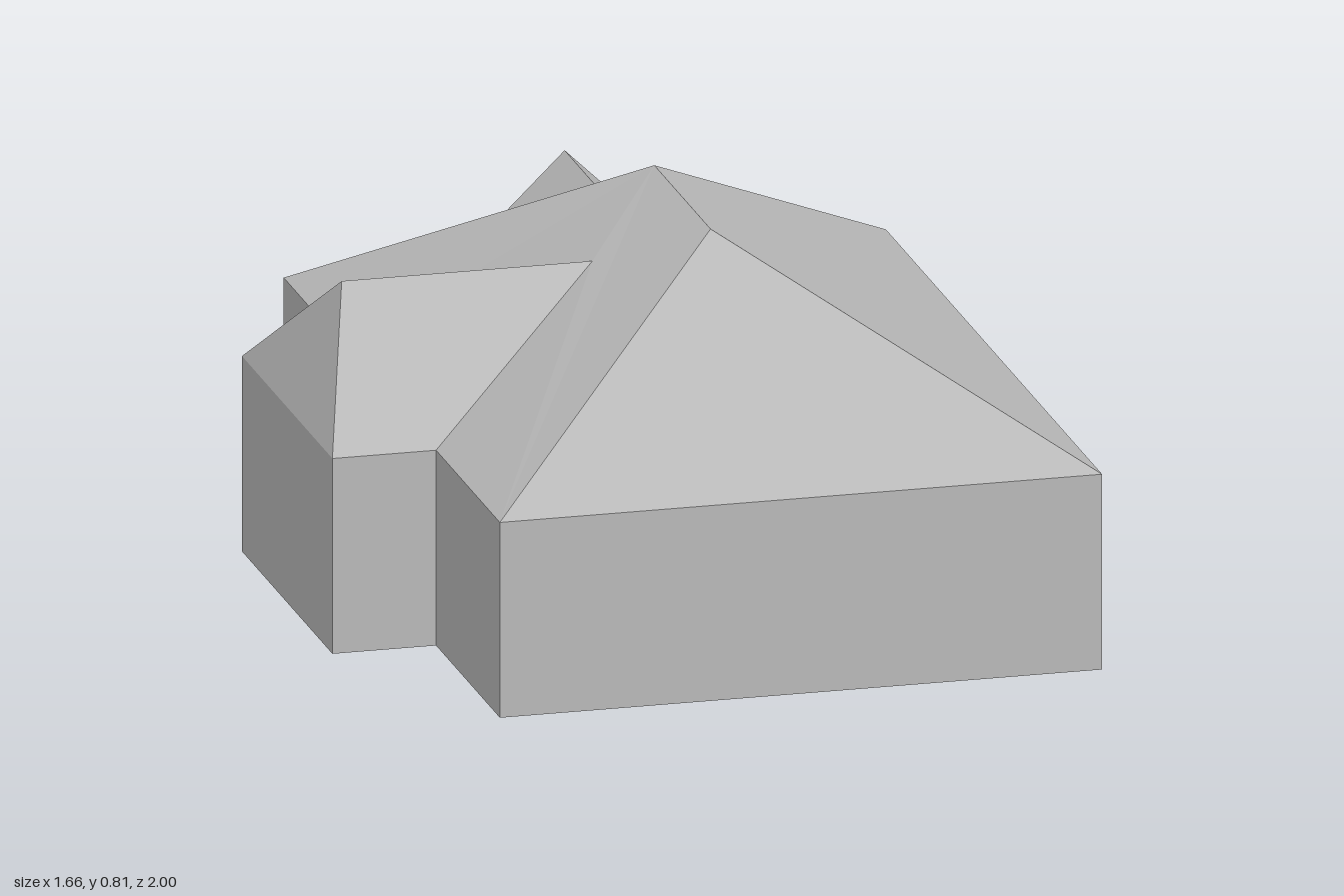
import * as THREE from 'three';

const EAVE = 0.42, RIDGE = 0.806, WING = 0.688, GABLE = 0.588;

// Plan points [x, z] in the house's own axes, before it is turned on its plot
const P = {
  frontLeft: [-0.562, 0.903], frontRight: [0.716, 0.903],
  backRight: [0.716, -0.822], backLeft: [-0.562, -0.822],
  gableInR: [0.256, -0.822], gableOutR: [0.256, -0.998],
  gableOutL: [-0.092, -0.998], gableInL: [-0.092, -0.822],
  wingInB: [-0.562, -0.328], wingOutB: [-0.782, -0.328],
  wingOutF: [-0.782, 0.394], wingInF: [-0.562, 0.394],
  ridgeF: [0.055, 0.264], ridgeB: [0.055, -0.185],
  wingPeak: [-0.671, 0.051], wingJoint: [-0.139, 0.051],
  gablePeak: [0.081, -0.998], gableJoint: [0.081, -0.546],
};
const HEIGHT = {
  ridgeF: RIDGE, ridgeB: RIDGE, wingPeak: WING, wingJoint: WING,
  gablePeak: GABLE, gableJoint: GABLE,
};
const at = (name, y = HEIGHT[name] ?? EAVE) => new THREE.Vector3(P[name][0], y, P[name][1]);

// Triangulate a sloped or level polygon in plan, facing up (1) or down (-1)
function planFace(points, facing) {
  const flat = points.map((p) => new THREE.Vector2(p.x, p.z));
  return THREE.ShapeUtils.triangulateShape(flat, []).flatMap((tri) => {
    const [a, b, c] = tri.map((i) => points[i]);
    const ny = b.clone().sub(a).cross(c.clone().sub(a)).y;
    return ny * facing > 0 ? [a, b, c] : [a, c, b];
  });
}

function createMesh(name, corners, material) {
  const geometry = new THREE.BufferGeometry().setFromPoints(corners);
  geometry.computeVertexNormals();
  const mesh = new THREE.Mesh(geometry, material);
  mesh.name = name;
  return mesh;
}

export function createModel() {
  const house = new THREE.Group();
  house.name = 'house';
  const grey = new THREE.MeshStandardMaterial({ color: 0xb8b8b8 });
  grey.name = 'plain grey';

  // Outer walls follow the footprint, rising to the eaves
  const outline = ['frontLeft', 'frontRight', 'backRight', 'gableInR', 'gableOutR', 'gableOutL',
    'gableInL', 'backLeft', 'wingInB', 'wingOutB', 'wingOutF', 'wingInF'];
  const walls = outline.flatMap((name, i) => {
    const next = outline[(i + 1) % outline.length];
    const [a, b, c, d] = [at(name, 0), at(next, 0), at(next, EAVE), at(name, EAVE)];
    return [a, b, c, a, c, d];
  });
  // Triangle closing the gable end
  walls.push(at('gableOutR'), at('gableOutL'), at('gablePeak'));
  house.add(createMesh('walls', walls, grey));
  house.add(createMesh('floor', planFace(outline.map((n) => at(n, 0)), -1), grey));

  // Roof slopes, with the main roof cut back where the side roofs meet it
  const roofs = {
    mainRoof: [
      ['frontLeft', 'frontRight', 'ridgeF'],
      ['frontRight', 'backRight', 'ridgeB', 'ridgeF'],
      ['backRight', 'gableInR', 'gableJoint', 'gableInL', 'backLeft', 'ridgeB'],
      ['backLeft', 'wingInB', 'wingJoint', 'wingInF', 'frontLeft', 'ridgeF', 'ridgeB'],
    ],
    sideWingRoof: [
      ['wingOutB', 'wingPeak', 'wingOutF'],
      ['wingOutF', 'wingPeak', 'wingJoint', 'wingInF'],
      ['wingOutB', 'wingInB', 'wingJoint', 'wingPeak'],
    ],
    backGableRoof: [
      ['gableOutL', 'gablePeak', 'gableJoint', 'gableInL'],
      ['gableOutR', 'gableInR', 'gableJoint', 'gablePeak'],
    ],
  };
  for (const [name, slopes] of Object.entries(roofs)) {
    const corners = slopes.flatMap((slope) => planFace(slope.map((n) => at(n)), 1));
    house.add(createMesh(name, corners, grey));
  }

  // The house stands slightly turned
  house.rotation.y = THREE.MathUtils.degToRad(-8.45);
  const model = new THREE.Group();
  model.name = 'hippedHouse';
  model.add(house);
  return model;
}
